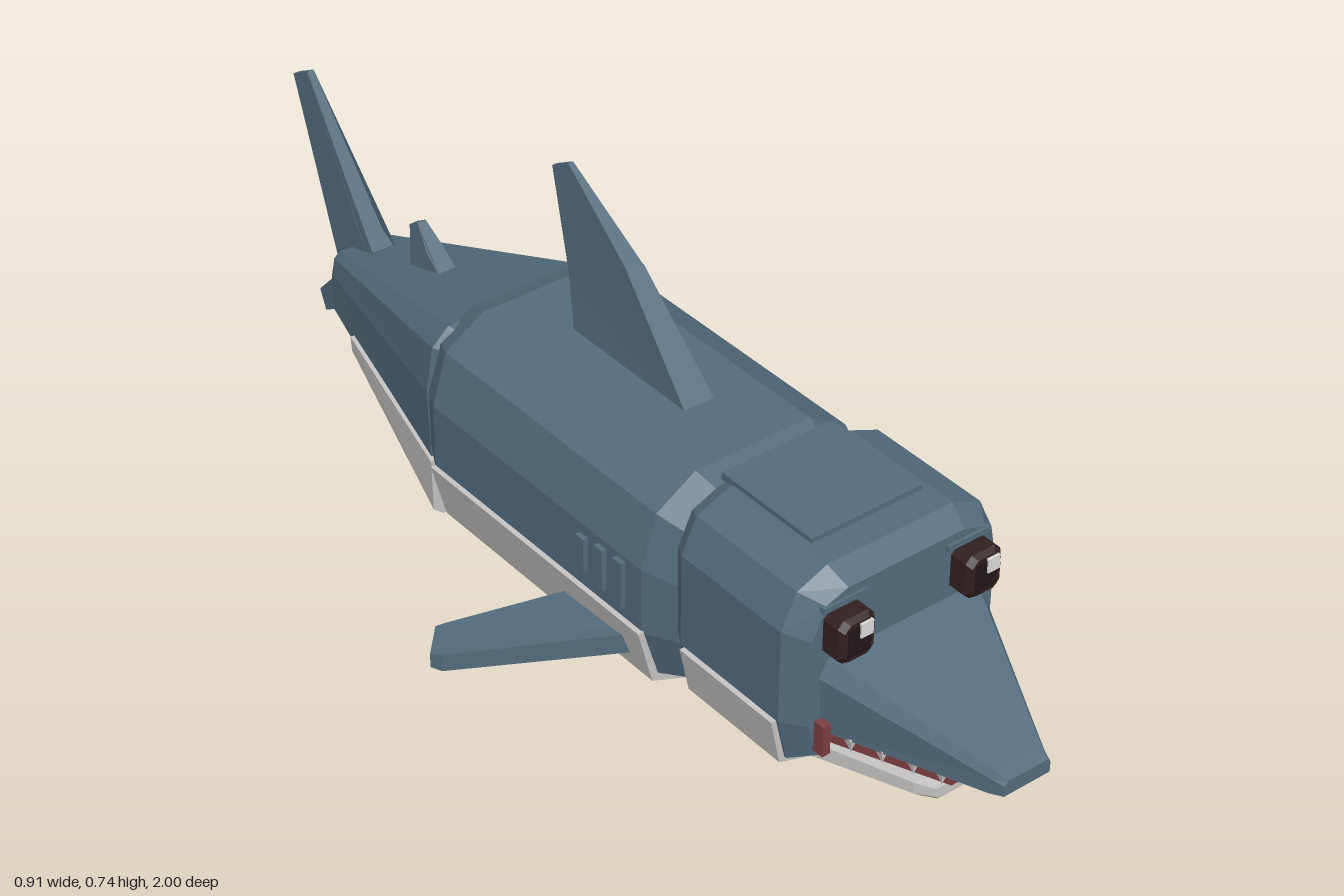
import * as THREE from 'three';

const mat = (name, color, flat = true) => {
  const m = new THREE.MeshStandardMaterial({ color, flatShading: flat });
  m.name = name;
  return m;
};

// Skin a list of closed rings (arrays of [x, y, z]) and cap both ends
function loft(rings) {
  const tris = [], n = rings[0].length;
  for (let r = 0; r + 1 < rings.length; r++) {
    for (let i = 0; i < n; i++) {
      const j = (i + 1) % n, a = rings[r], b = rings[r + 1];
      tris.push([a[i], a[j], b[j]], [a[i], b[j], b[i]]);
    }
  }
  const first = rings[0], last = rings[rings.length - 1];
  for (let i = 1; i + 1 < n; i++) {
    tris.push([first[0], first[i + 1], first[i]], [last[0], last[i], last[i + 1]]);
  }
  // Turn all corners round if the solid came out inside out
  const v = (p) => new THREE.Vector3(...p);
  const volume = tris.reduce((s, [a, b, c]) => s + v(a).dot(v(b).cross(v(c))), 0);
  const flat = tris.flatMap((t) => (volume < 0 ? [t[0], t[2], t[1]] : t)).flat();
  const geo = new THREE.BufferGeometry();
  geo.setAttribute('position', new THREE.Float32BufferAttribute(flat, 3));
  geo.computeVertexNormals();
  return geo;
}

// Mirrored ring at depth z from the [x, y] points of its +x half, top to bottom
const ring = (z, half) => [
  ...half.map(([x, y]) => [x, y, z]),
  ...[...half].reverse().map(([x, y]) => [-x, y, z]),
];
const shrink = (half, k, cy) => half.map(([x, y]) => [x * k, cy + (y - cy) * k]);

// Upright fin from [z, y, halfThickness] points
const fin = (pts) => loft([-1, 1].map((s) => pts.map(([z, y, w]) => [s * w, y, z])));

export function createModel() {
  const model = new THREE.Group();
  model.name = 'shark';
  const skin = mat('slate blue skin', 0x536b7c);
  const pale = mat('pale belly', 0xc6c4c2);
  const gum = mat('dark red gum', 0x7c3d42);
  const dark = mat('dark brown eye', 0x30211f);
  const black = mat('pupil', 0x211717);
  const white = mat('tooth white', 0xdcdad8);

  const add = (name, geo, material) => {
    const m = new THREE.Mesh(geo, material);
    m.name = name;
    model.add(m);
    return m;
  };
  const box = (name, material, w, h, d, x, y, z) =>
    add(name, new THREE.BoxGeometry(w, h, d), material).position.set(x, y, z);

  // Trunk with narrowed ends, and its belly shell
  const trunk = [[0.12, 0.44], [0.2, 0.39], [0.23, 0.29], [0.23, 0.16], [0.2, 0.062], [0.08, 0.012]];
  add('trunk', loft([
    ring(0.42, shrink(trunk, 0.84, 0.23)), ring(0.33, trunk),
    ring(-0.25, trunk), ring(-0.31, shrink(trunk, 0.86, 0.23)),
  ]), skin);
  const belly = [[0.24, 0.165], [0.21, 0.052], [0.08, 0]];
  add('trunkBelly', loft([ring(0.335, belly), ring(-0.25, belly)]), pale);

  // Head block, throat shell and crown plate
  const head = [[0.13, 0.46], [0.19, 0.435], [0.22, 0.37], [0.22, 0.19], [0.2, 0.105], [0.13, 0.083]];
  const face = [[0.12, 0.435], [0.165, 0.42], [0.19, 0.36], [0.19, 0.19], [0.175, 0.125], [0.12, 0.1]];
  add('head', loft([
    ring(0.39, shrink(head, 0.92, 0.27)), ring(0.42, head), ring(0.665, head), ring(0.705, face),
  ]), skin);
  const throat = [[0.23, 0.19], [0.21, 0.098], [0.13, 0.072]];
  add('throat', loft([ring(0.66, throat), ring(0.43, throat)]), pale);
  box('crownPlate', skin, 0.23, 0.014, 0.22, 0, 0.462, 0.5);

  // Wedge snout
  add('snout', loft([
    ring(0.69, [[0.162, 0.318], [0.18, 0.285], [0.17, 0.17]]),
    ring(0.975, [[0.05, 0.213], [0.057, 0.2], [0.057, 0.17]]),
    ring(1.0, [[0.042, 0.203], [0.048, 0.195], [0.048, 0.175]]),
  ]), skin);

  // Mouth: upper gum, lower jaw and corners
  add('upperGum', loft([
    ring(0.7, [[0.155, 0.18], [0.155, 0.143]]),
    ring(0.905, [[0.068, 0.18], [0.068, 0.143]]),
  ]), gum);
  add('lowerJaw', loft([
    ring(0.68, [[0.17, 0.137], [0.17, 0.108], [0.15, 0.09]]),
    ring(0.86, [[0.105, 0.137], [0.105, 0.115], [0.09, 0.103]]),
    ring(0.89, [[0.085, 0.134], [0.085, 0.118], [0.08, 0.112]]),
  ]), pale);
  for (const s of [-1, 1]) box('mouthCorner', gum, 0.016, 0.06, 0.03, s * 0.172, 0.168, 0.712);

  // Four-sided teeth along the gum
  const toothGeo = new THREE.ConeGeometry(0.016, 0.034, 4).rotateX(Math.PI).rotateY(Math.PI / 4);
  for (const s of [-1, 1]) {
    const spots = [[0.027, 0.902]];
    for (const z of [0.89, 0.845, 0.795, 0.745]) spots.push([0.155 - (z - 0.7) * 0.425, z]);
    for (const [x, z] of spots) add('tooth', toothGeo, white).position.set(s * x, 0.156, z);
  }

  // Eyes with cut corners, pupils, glints and brows
  const eyeRing = (z, w, h) => ring(z, [[w - 0.012, h], [w, h - 0.012], [w, 0.012 - h], [w - 0.012, -h]]);
  const eyeGeo = loft([eyeRing(0, 0.037, 0.042), eyeRing(0.038, 0.037, 0.042), eyeRing(0.048, 0.03, 0.035)]);
  for (const s of [-1, 1]) {
    const x = s * 0.132;
    add('eye', eyeGeo, dark).position.set(x, 0.366, 0.7);
    box('pupil', black, 0.046, 0.055, 0.006, x, 0.366, 0.747);
    box('eyeGlint', white, 0.025, 0.027, 0.006, x + 0.012, 0.384, 0.75);
    box('brow', skin, 0.09, 0.01, 0.012, s * 0.128, 0.415, 0.705);
  }

  // Gill slits
  for (const s of [-1, 1]) {
    for (const [z, h] of [[0.277, 0.092], [0.227, 0.084], [0.177, 0.07]]) {
      box('gill', skin, 0.02, h, 0.022, s * 0.23, 0.235, z);
    }
  }

  // Tapered tail and its belly shell
  const tailEnd = [[0.05, 0.253], [0.063, 0.243], [0.07, 0.21], [0.07, 0.135], [0.05, 0.112]];
  add('tail', loft([
    ring(-0.275, [[0.14, 0.385], [0.17, 0.36], [0.18, 0.28], [0.18, 0.1], [0.15, 0.06]]),
    ring(-0.305, [[0.155, 0.397], [0.19, 0.365], [0.205, 0.28], [0.2, 0.1], [0.17, 0.035]]),
    ring(-0.805, tailEnd),
    ring(-0.828, shrink(tailEnd, 0.75, 0.18)),
  ]), skin);
  add('tailBelly', loft([
    ring(-0.29, [[0.212, 0.14], [0.21, 0.035], [0.19, 0.018]]),
    ring(-0.695, [[0.107, 0.145], [0.105, 0.113], [0.09, 0.093]]),
  ]), pale);

  // Fins along the back and the tail fin
  add('dorsalFinBase', fin([
    [0.2, 0.43, 0.032], [0.02, 0.62, 0.018], [0, 0.623, 0.017], [-0.14, 0.535, 0.018], [-0.11, 0.43, 0.03],
  ]), skin);
  add('dorsalFinTip', fin([
    [0.02, 0.62, 0.017], [-0.155, 0.74, 0.005], [-0.2, 0.715, 0.005], [-0.14, 0.53, 0.017],
  ]), skin);
  add('rearFin', fin([
    [-0.515, 0.32, 0.02], [-0.565, 0.36, 0.018], [-0.605, 0.4, 0.009], [-0.63, 0.385, 0.009], [-0.62, 0.29, 0.018],
  ]), skin);
  add('tailFinUpper', fin([
    [-0.72, 0.26, 0.026], [-0.77, 0.29, 0.024], [-0.95, 0.555, 0.007],
    [-0.998, 0.53, 0.007], [-0.84, 0.17, 0.024], [-0.79, 0.15, 0.026],
  ]), skin);
  add('tailFinLower', fin([
    [-0.8, 0.19, 0.024], [-0.845, 0.18, 0.024], [-0.942, 0.085, 0.012], [-0.925, 0.045, 0.012], [-0.81, 0.115, 0.024],
  ]), skin);

  // Side fins: planform points [x, z, top, bottom]
  const plan = [
    [0.19, 0.315, 0.135, 0.095], [0.445, 0.065, 0.05, 0.016], [0.455, 0.045, 0.045, 0.017],
    [0.405, -0.01, 0.045, 0.02], [0.39, -0.002, 0.05, 0.02], [0.19, 0.14, 0.125, 0.07],
  ];
  for (const s of [1, -1]) {
    const rings = [2, 3].map((k) => plan.map((p) => [s * p[0], p[k], p[1]]));
    add(s > 0 ? 'leftFin' : 'rightFin', loft(rings), skin);
  }
  return model;
}
